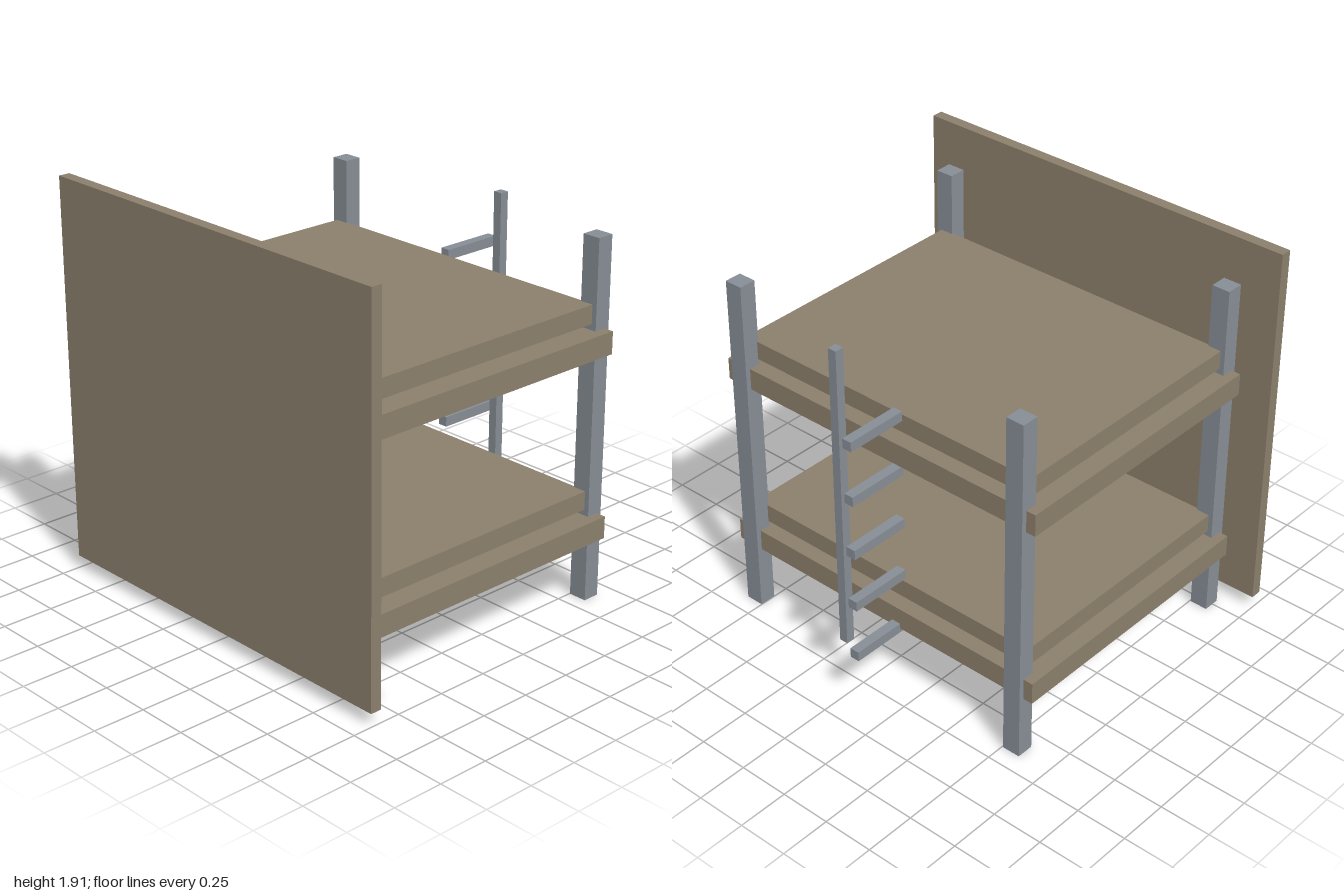
import * as THREE from 'three';

export function createModel() {
  const model = new THREE.Group();
  model.name = 'bunkBed';

  const wood = new THREE.MeshStandardMaterial({ color: 0x8b7f6c });
  wood.name = 'wood';
  const metal = new THREE.MeshStandardMaterial({ color: 0x868d95 });
  metal.name = 'greyMetal';

  // Box spanning the given ranges on each axis
  function box(name, material, [x0, x1], [y0, y1], [z0, z1], parent = model) {
    const mesh = new THREE.Mesh(new THREE.BoxGeometry(x1 - x0, y1 - y0, z1 - z0), material);
    mesh.position.set((x0 + x1) / 2, (y0 + y1) / 2, (z0 + z1) / 2);
    mesh.name = name;
    parent.add(mesh);
    return mesh;
  }

  // Wall panel beside the bed
  box('wallPanel', wood, [-0.905, -0.85], [0.062, 1.91], [-1, 1]);

  // Four corner posts
  for (const x of [-0.742, 0.618]) {
    for (const z of [-0.8, 0.797]) {
      box('post', metal, [x - 0.042, x + 0.042], [0, 1.733], [z - 0.045, z + 0.045]);
    }
  }

  // Two bunks: a base slab with a mattress just above it
  for (const [label, y] of [['lower', 0.312], ['upper', 1.2]]) {
    const bunk = new THREE.Group();
    bunk.name = label + 'Bunk';
    model.add(bunk);
    box('bunkBase', wood, [-0.76, 0.635], [y, y + 0.107], [-0.893, 0.89], bunk);
    box('mattress', wood, [-0.71, 0.583], [y + 0.135, y + 0.225], [-0.822, 0.818], bunk);
  }

  // Ladder: one upright and five rungs
  const ladder = new THREE.Group();
  ladder.name = 'ladder';
  model.add(ladder);
  box('ladderUpright', metal, [0.722, 0.766], [0.195, 1.74], [0.078, 0.122], ladder);
  for (let i = 0; i < 5; i++) {
    const y = 0.314 + i * 0.278;
    box('rung', metal, [0.593, 0.902], [y - 0.024, y + 0.024], [-0.127, -0.079], ladder);
  }

  return model;
}
